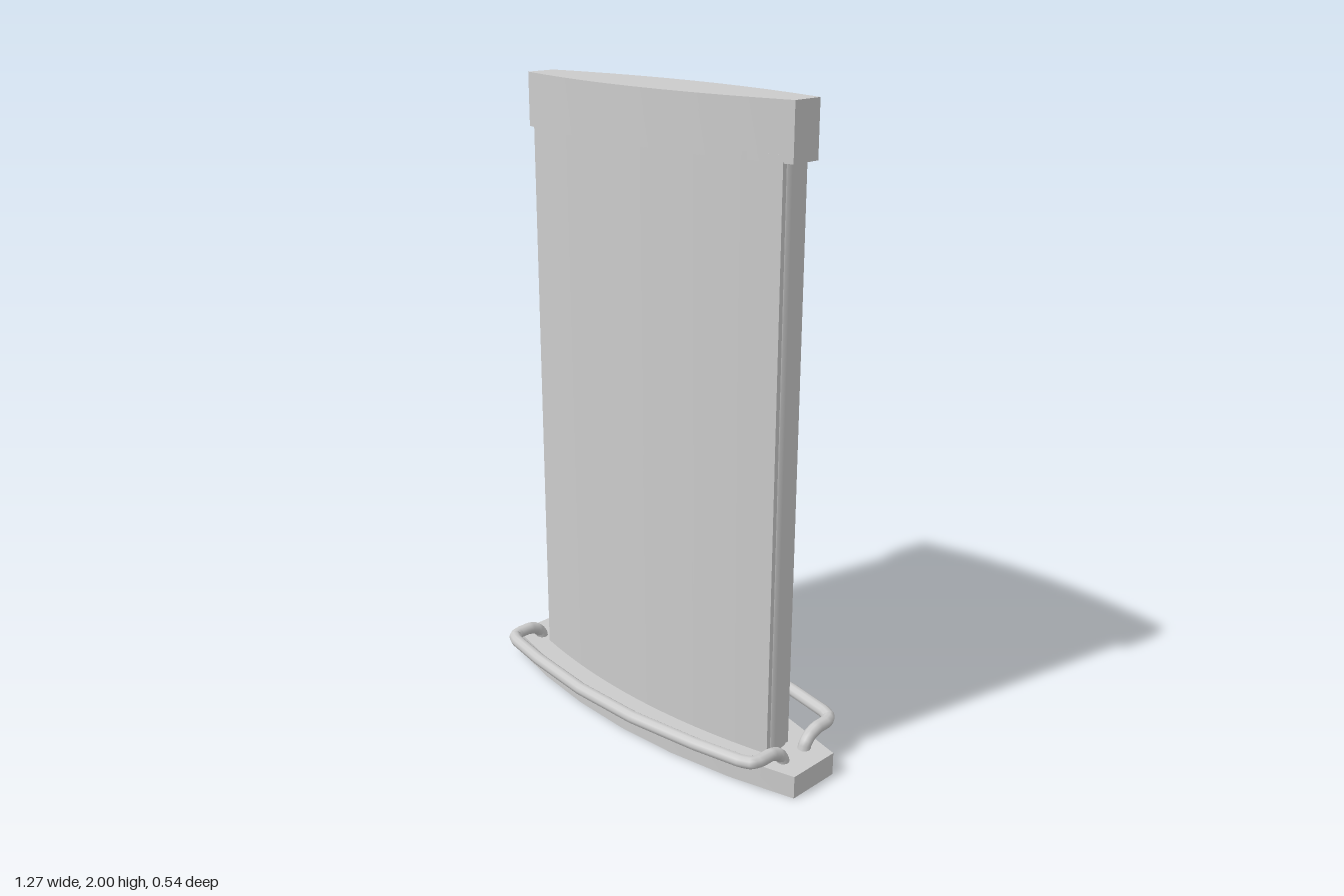
import * as THREE from 'three';
import { toCreasedNormals } from 'three/addons/utils/BufferGeometryUtils.js';

const material = new THREE.MeshStandardMaterial({ color: 0xcccccc });

function addMesh(group, name, geometry) {
  const mesh = new THREE.Mesh(geometry, material);
  mesh.name = name;
  group.add(mesh);
  return mesh;
}

// Upright slab with a lens-shaped plan: bowed front and back, flat ends
function lensSlab(halfWidth, endDepth, midDepth, y0, y1, segments) {
  const shape = new THREE.Shape();
  const bow = (t) => endDepth + (midDepth - endDepth) * (1 - t * t);
  for (let side = 1; side >= -1; side -= 2) {
    for (let i = 0; i <= segments; i++) {
      const t = side * (1 - (2 * i) / segments);
      const x = t * halfWidth, z = side * bow(t);
      if (side === 1 && i === 0) shape.moveTo(x, z);
      else shape.lineTo(x, z);
    }
  }
  const geometry = new THREE.ExtrudeGeometry(shape, { depth: y1 - y0, bevelEnabled: false });
  geometry.rotateX(-Math.PI / 2);
  geometry.translate(0, y0, 0);
  return toCreasedNormals(geometry, 0.6);
}

export function createModel() {
  const group = new THREE.Group();

  // Foot plate
  addMesh(group, 'base', lensSlab(0.635, 0.09, 0.185, 0, 0.073, 6));

  // Bowed display body
  addMesh(group, 'body', lensSlab(0.502, 0.049, 0.106, 0.06, 1.86, 16))
    .position.set(-0.005, 0, 0.007);

  // Shallow rounded strips closing the two narrow ends
  for (const side of [-1, 1]) {
    const strip = new THREE.CylinderGeometry(0.038, 0.038, 1.79, 12);
    strip.scale(0.3, 1, 1);
    addMesh(group, side > 0 ? 'leftEndStrip' : 'rightEndStrip', strip)
      .position.set(side * 0.499 - 0.005, 0.955, 0.006);
  }

  // Top cap
  addMesh(group, 'cap', lensSlab(0.531, 0.05, 0.115, 1.837, 2, 10))
    .position.set(-0.005, 0, -0.001);

  // Bent tube guard rails, front and back
  const half = [
    [0.555, 0.06, 0.046], [0.555, 0.085, 0.052], [0.555, 0.108, 0.072],
    [0.555, 0.12, 0.105], [0.555, 0.12, 0.15], [0.545, 0.12, 0.178],
    [0.515, 0.12, 0.193], [0.36, 0.12, 0.223], [0.12, 0.12, 0.252],
  ];
  for (const side of [-1, 1]) {
    const points = [
      ...half.map(([x, y, z]) => new THREE.Vector3(x, y, z * side)),
      ...half.slice().reverse().map(([x, y, z]) => new THREE.Vector3(-x, y, z * side)),
    ];
    const path = new THREE.CurvePath();
    for (let i = 1; i < points.length; i++) path.add(new THREE.LineCurve3(points[i - 1], points[i]));
    addMesh(group, side > 0 ? 'frontRail' : 'backRail',
      new THREE.TubeGeometry(path, 120, 0.02, 10, false));
  }

  return group;
}
